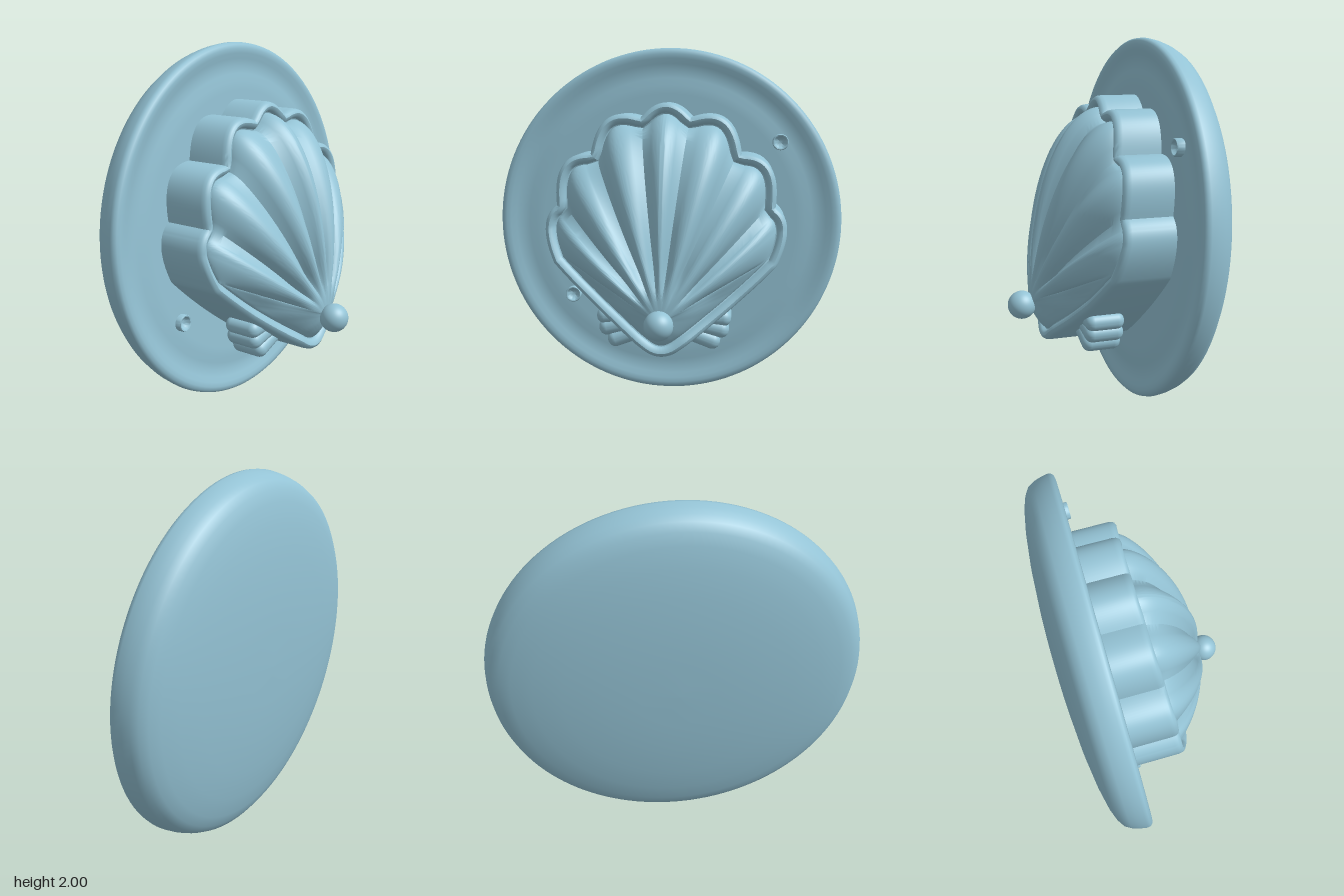
import * as THREE from 'three';
import { toCreasedNormals } from 'three/addons/utils/BufferGeometryUtils.js';
import { RoundedBoxGeometry } from 'three/addons/geometries/RoundedBoxGeometry.js';

const HUB = { x: 0.36, y: 0.55 };
const smooth = THREE.MathUtils.smoothstep;

// Height (along x) of the scalloped rim at a given y
const RIM = [[0.33, 0.3], [0.4, 0.285], [0.5, 0.22], [0.62, 0.16], [0.8, 0.1], [1.0, 0.055], [1.3, 0.03], [1.7, -0.02]];
function rimX(y) {
  for (let i = 1; i < RIM.length; i++) {
    const [y0, x0] = RIM[i - 1], [y1, x1] = RIM[i];
    if (y <= y1) return x0 + (x1 - x0) * Math.max(0, (y - y0) / (y1 - y0));
  }
  return RIM[RIM.length - 1][1];
}

// Closed scalloped outline in (z, y); 'dip' is 0 on a rib's crest and 1 in a valley
function shellOutline() {
  const rib = t => 1 - Math.sqrt(Math.max(0, 1 - (2 * t - 1) ** 2));
  const segments = [
    [-0.14, 1.61, 0, 1.77, 0.14, 1.61, rib],
    [0.14, 1.61, 0.38, 1.69, 0.42, 1.41, rib],
    [0.42, 1.41, 0.645, 1.415, 0.61, 1.12, rib],
    [0.61, 1.12, 0.735, 1.04, 0.62, 0.8, rib],
    [0.62, 0.8, 0.4, 0.58, 0.1, 0.37, t => 1 - t],
    [0.1, 0.37, 0, 0.3, -0.1, 0.37, () => 0],
  ];
  const N = 24, half = [];
  segments.forEach(([z0, y0, zc, yc, z1, y1, dip], i) => {
    const from = i === 0 ? N / 2 : 0, to = i === 5 ? N / 2 + 1 : N;
    for (let k = from; k < to; k++) {
      const t = k / N, a = (1 - t) ** 2, b = 2 * t * (1 - t), c = t * t;
      half.push({ z: a * z0 + b * zc + c * z1, y: a * y0 + b * yc + c * y1, dip: dip(t) });
    }
  });
  const mirrored = half.slice(1, -1).reverse().map(p => ({ ...p, z: -p.z }));
  const ring = [...half, ...mirrored];
  // Inward normal of each point
  ring.forEach((p, i) => {
    const a = ring[(i + ring.length - 1) % ring.length], b = ring[(i + 1) % ring.length];
    const l = Math.hypot(b.z - a.z, b.y - a.y);
    p.nz = (b.y - a.y) / l;
    p.ny = -(b.z - a.z) / l;
  });
  return ring;
}

// Wall, rolled rim and ribbed dome as one lofted surface
function shellGeometry() {
  const ring = shellOutline(), n = ring.length, pos = [], idx = [];
  // [inset, height relative to the rim]
  const edge = [[0, -0.04], [0.003, -0.02], [0.011, -0.007], [0.024, 0], [0.038, -0.004], [0.049, -0.015], [0.056, -0.03]];
  const addRow = f => ring.forEach(p => pos.push(...f(p)));
  addRow(p => [-0.27, p.y, p.z]);
  for (const [inset, h] of edge)
    addRow(p => [rimX(p.y) + h, p.y + p.ny * inset, p.z + p.nz * inset]);

  const M = 28;
  for (let k = 0; k <= M; k++) {
    const s = Math.cos(k / M * Math.PI / 2);
    addRow(p => {
      const qz = p.z + p.nz * 0.062, qy = p.y + p.ny * 0.062 - HUB.y;
      const w = Math.min(Math.abs(Math.atan2(qz, qy)) / 1.2, 1);
      const lift = Math.max(0, 1 - s ** (2.3 - 0.9 * w)) ** (0.53 + 0.27 * w);
      const base = rimX(p.y) - 0.032;
      const groove = 0.05 * p.dip * smooth(s * Math.hypot(qz, qy), 0.1, 0.3) * (1 - s ** 8);
      return [base + (HUB.x - base) * lift - groove, HUB.y + qy * s, qz * s];
    });
  }
  const rows = pos.length / 3 / n;
  for (let i = 0; i < rows - 1; i++)
    for (let j = 0; j < n; j++) {
      const a = i * n + j, b = i * n + (j + 1) % n;
      idx.push(a, b, a + n);
      if (i < rows - 2) idx.push(b, b + n, a + n);
    }
  const g = new THREE.BufferGeometry();
  g.setAttribute('position', new THREE.Float32BufferAttribute(pos, 3));
  g.setIndex(idx);
  return toCreasedNormals(g, 0.7);
}

function lathe(points, segments) {
  return new THREE.LatheGeometry(points.map(([r, u]) => new THREE.Vector2(r, u)), segments);
}

export function createModel() {
  const model = new THREE.Group();
  model.name = 'shellPlaque';
  const blue = new THREE.MeshStandardMaterial({ color: 0x94c3d5 });
  blue.name = 'paleBlue';
  const add = (parent, name, geometry) => {
    const mesh = new THREE.Mesh(geometry, blue);
    mesh.name = name;
    parent.add(mesh);
    return mesh;
  };

  // Backing disc, leaning slightly back, its axis along x
  const backing = new THREE.Group();
  backing.name = 'backing';
  backing.position.set(-0.215, 1, 0);
  backing.rotation.z = -Math.PI / 2 + 0.045;
  model.add(backing);
  add(backing, 'disc', lathe([
    [0, -0.27], [0.2, -0.268], [0.4, -0.26], [0.6, -0.242], [0.75, -0.22], [0.86, -0.195], [0.92, -0.172],
    [0.96, -0.145], [0.98, -0.11], [0.993, -0.07], [1, -0.03], [0.997, -0.012], [0.985, 0.001], [0.965, 0.005],
    [0.94, 0.002], [0.91, -0.008], [0.87, -0.016], [0.83, -0.014], [0.79, -0.008], [0.74, -0.006], [0, -0.006],
  ], 128));

  // Small hollow studs on the disc face
  for (const [y, z] of [[1.465, -0.64], [0.56, 0.565]]) {
    const stud = add(backing, 'stud', toCreasedNormals(lathe([
      [0.046, -0.03], [0.046, 0.022], [0.042, 0.028], [0.036, 0.026], [0.028, 0.008], [0.015, -0.002], [0, -0.005],
    ], 28), 0.7));
    stud.position.set(1 - y, 0, z);
  }

  add(model, 'shell', shellGeometry());

  // Pearl at the hinge
  add(model, 'pearl', new THREE.SphereGeometry(0.078, 40, 28)).position.set(0.406, 0.545, 0);

  // Fanned feet below the shell, three lobes each side
  for (const side of [1, -1]) {
    const foot = new THREE.Group();
    foot.name = side > 0 ? 'footLeft' : 'footRight';
    model.add(foot);
    for (const [y, z, angle] of [[0.517, 0.25, 0.05], [0.465, 0.24, 0.22], [0.41, 0.195, 0.36]]) {
      const lobe = add(foot, 'footLobe', new RoundedBoxGeometry(0.215, 0.092, 0.25, 5, 0.044));
      lobe.position.set(0.035, y, side * z);
      lobe.rotation.x = side * angle;
    }
  }
  return model;
}
